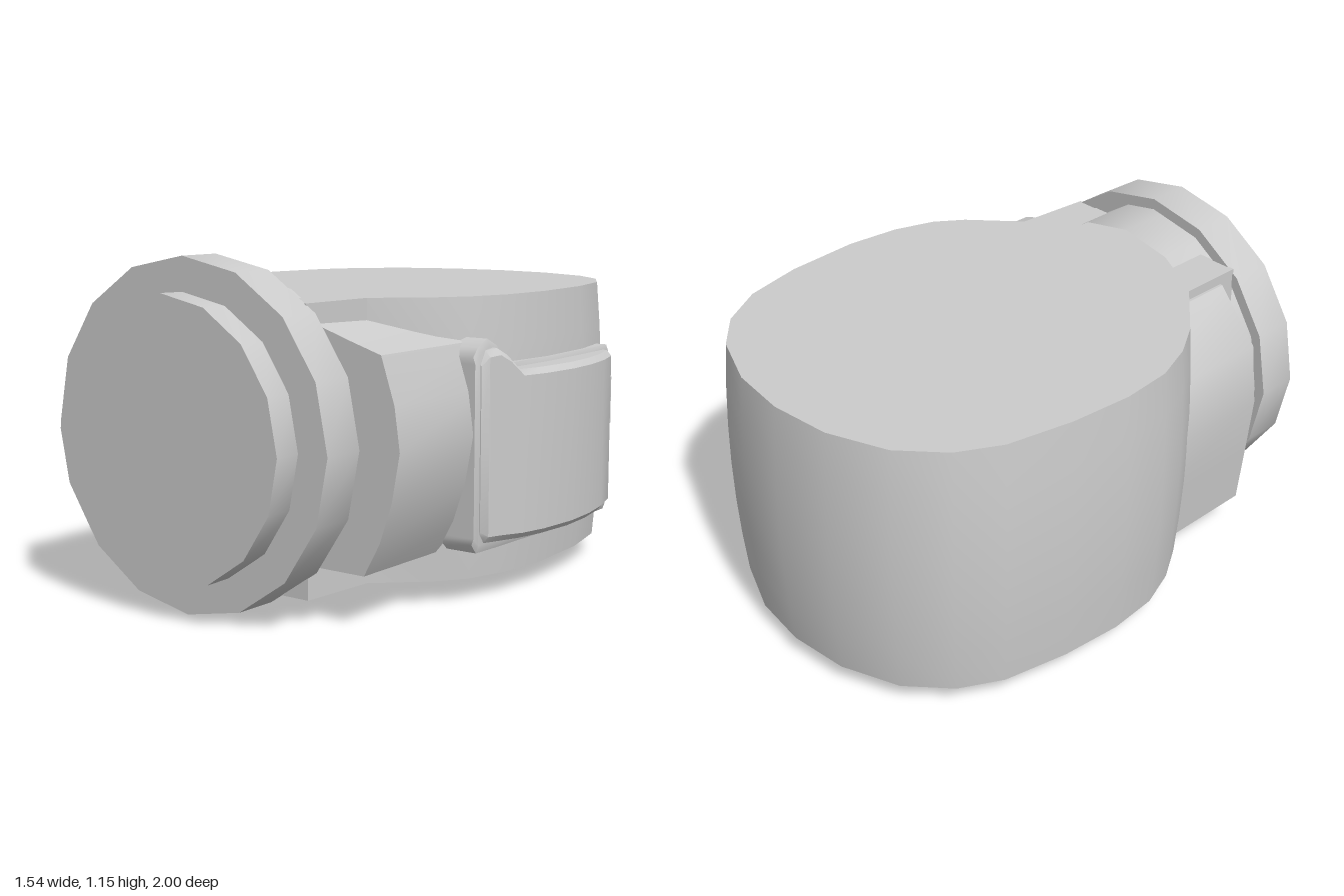
import * as THREE from 'three';
import { toCreasedNormals } from 'three/addons/utils/BufferGeometryUtils.js';

const CX = -0.045, CY = 0.58, CZ = -0.14;

function part(name, geometry, crease = 0.6) {
  const material = new THREE.MeshStandardMaterial({ color: 0xcccccc });
  const mesh = new THREE.Mesh(toCreasedNormals(geometry, crease), material);
  mesh.name = name;
  return mesh;
}

function extrude(points, depth, steps = 1) {
  const shape = new THREE.Shape(points.map(([x, y]) => new THREE.Vector2(x, y)));
  return new THREE.ExtrudeGeometry(shape, { depth, steps, bevelEnabled: false });
}

// Turned part along the z axis; profile points are [radius, z]
function turned(profile) {
  const g = new THREE.LatheGeometry(profile.map(([r, z]) => new THREE.Vector2(r, z)), 16);
  return g.rotateX(Math.PI / 2).translate(CX, CY, 0);
}

// Curved side plate; each station is [z, outer x, bottom y, top y]
function sidePlate(stations, innerX, edge) {
  const n = stations.length - 1;
  const rows = [0, 0.035, 0.5, 0.965, 1];
  const g = new THREE.BoxGeometry(1, 1, 1, 1, rows.length - 1, n);
  const p = g.attributes.position;
  for (let i = 0; i < p.count; i++) {
    const row = Math.round((p.getY(i) + 0.5) * 4);
    const [z, x, low, high] = stations[Math.round((p.getZ(i) + 0.5) * n)];
    const drop = row === 0 || row === 4 ? edge : 0;
    p.setXYZ(i, p.getX(i) > 0 ? x - drop : innerX, low + (high - low) * rows[row], z);
  }
  return g;
}

function bodyGeometry() {
  // Plan outline as [x, z]
  const outline = [
    [-0.43, 0.75], [0.33, 0.75], [0.35, 0.47], [0.53, 0.33], [0.60, 0.23], [0.65, 0.08],
    [0.672, -0.12], [0.655, -0.4], [0.605, -0.62], [0.51, -0.78], [0.38, -0.89], [0.17, -0.975],
    [-0.045, -1], [-0.27, -0.975], [-0.48, -0.89], [-0.62, -0.76], [-0.70, -0.61], [-0.75, -0.37],
    [-0.77, -0.14], [-0.755, 0.05], [-0.70, 0.2], [-0.62, 0.33], [-0.43, 0.51],
  ];
  const g = extrude(outline.map(([x, z]) => [x, -z]), 0.935, 6);
  g.rotateX(-Math.PI / 2).translate(0, 0.08, 0);
  // Barrel the walls: narrower towards the top and bottom faces
  const p = g.attributes.position;
  for (let i = 0; i < p.count; i++) {
    const t = (p.getY(i) - 0.5475) / 0.4675;
    const s = 1 - 0.028 * t * t;
    if (p.getZ(i) < 0.4) {
      p.setX(i, CX + (p.getX(i) - CX) * s);
      p.setZ(i, CZ + (p.getZ(i) - CZ) * s);
    }
  }
  return g;
}

export function createModel() {
  const model = new THREE.Group();
  model.add(part('body', bodyGeometry()));

  // Cheeks flanking the neck
  model.add(part('leftNeckCheek', extrude([
    [0.3, 0.18], [0.52, 0.18], [0.58, 0.29], [0.625, 0.42], [0.655, 0.58],
    [0.635, 0.72], [0.585, 0.87], [0.47, 0.905], [0.3, 0.96],
  ], 0.51).translate(0, 0, 0.2)));
  model.add(part('rightNeckCheek', extrude([
    [-0.2, 0.98], [-0.44, 0.98], [-0.60, 0.8], [-0.63, 0.58],
    [-0.61, 0.35], [-0.59, 0.14], [-0.55, 0.1], [-0.2, 0.1],
  ], 0.53).translate(0, 0, 0.15)));

  // Front mount: collar, hollow-backed ring and end disc
  model.add(part('collar', turned([[0.5, 0.6], [0.5, 0.86]])));
  model.add(part('mountRing', turned([
    [0.4, 0.82], [0.535, 0.82], [0.535, 0.745], [0.575, 0.745], [0.575, 0.9], [0.4, 0.9],
  ])));
  model.add(part('endDisc', turned([[0.462, 0.88], [0.465, 1], [0, 1]])));

  // Raised hatch on the side, with its rim and latch
  model.add(part('hatchRim', sidePlate([
    [-0.59, 0.65, 0.22, 0.75], [-0.565, 0.66, 0.19, 0.795], [-0.35, 0.672, 0.19, 0.795],
    [-0.12, 0.68, 0.19, 0.795], [0.13, 0.672, 0.19, 0.795], [0.19, 0.67, 0.19, 0.86],
    [0.24, 0.667, 0.19, 0.885], [0.29, 0.664, 0.19, 0.86], [0.31, 0.66, 0.22, 0.83],
  ], 0.45, 0.008)));
  model.add(part('hatch', sidePlate([
    [-0.545, 0.672, 0.24, 0.76], [-0.525, 0.695, 0.22, 0.78], [-0.4, 0.735, 0.22, 0.78],
    [-0.27, 0.76, 0.22, 0.78], [-0.13, 0.77, 0.22, 0.78], [0.03, 0.757, 0.22, 0.78],
    [0.13, 0.734, 0.22, 0.78], [0.18, 0.715, 0.22, 0.83], [0.22, 0.7, 0.22, 0.855],
    [0.26, 0.684, 0.22, 0.85], [0.285, 0.668, 0.24, 0.82],
  ], 0.5, 0.018)));
  const latch = part('hatchLatch', new THREE.BoxGeometry(0.06, 0.17, 0.03));
  latch.position.set(0.63, 0.59, -0.58);
  model.add(latch);

  return model;
}
